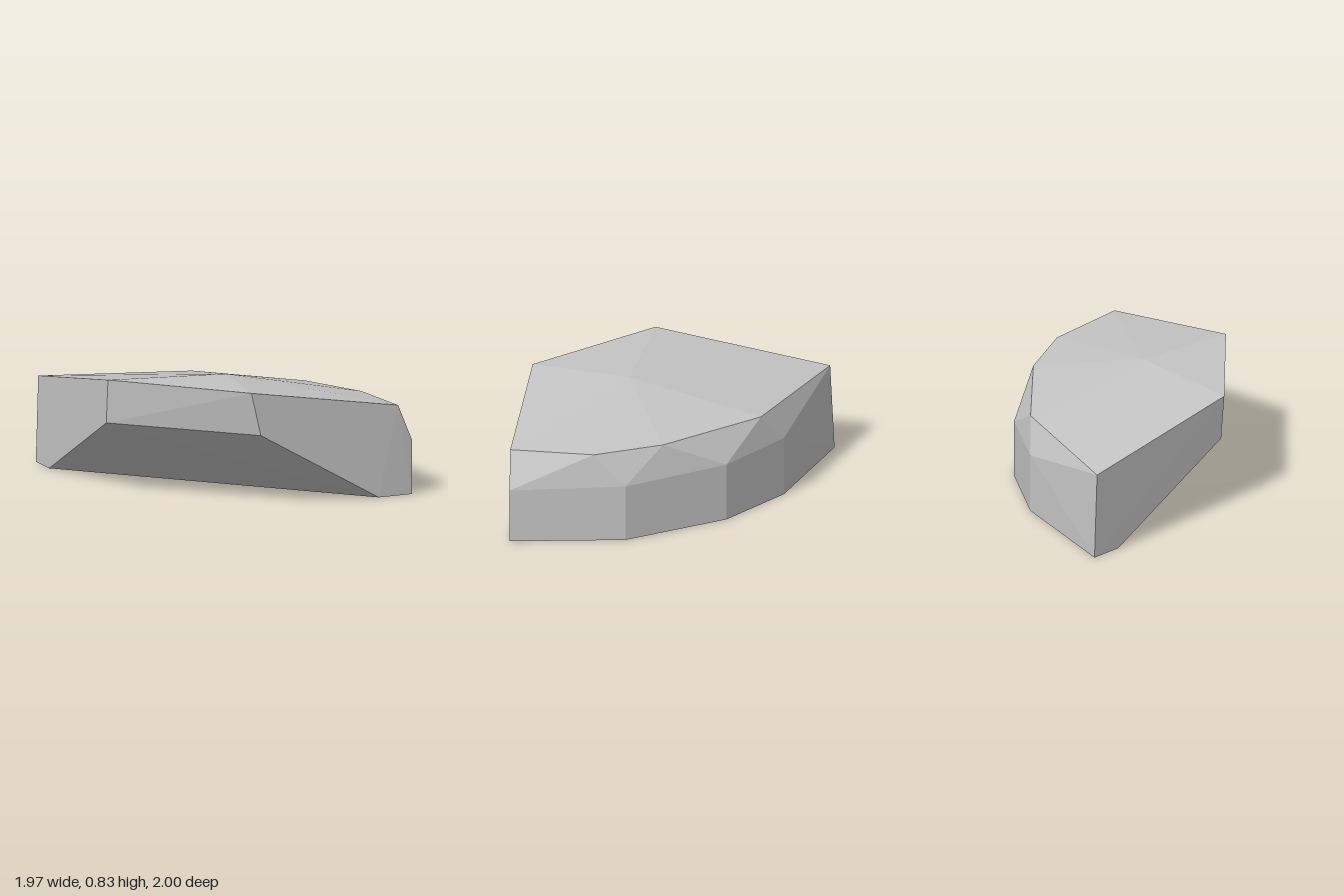
import * as THREE from 'three';
import { ConvexGeometry } from 'three/addons/geometries/ConvexGeometry.js';

export function createModel() {
  const stone = new THREE.MeshStandardMaterial({ color: 0xc4c4c4 });
  stone.name = 'light grey stone';

  // Corner points of the faceted boulder, ring by ring
  const base = [
    [-0.985, 0, -1], [-0.11, 0, -0.77], [0.39, 0, -0.44], [0.85, 0, 0.2],
    [0.985, 0, 0.99], [0.73, 0, 1], [-0.985, 0, -0.77],
  ];
  const undercut = [[-0.16, 0.515, 1], [-0.985, 0.52, 0.22]];
  const shoulder = [
    [-0.11, 0.42, -0.77], [0.39, 0.41, -0.44], [0.85, 0.4, 0.2], [0.985, 0.38, 0.99],
  ];
  const rim = [
    [-0.98, 0.615, -0.97], [0.03, 0.63, -0.63], [0.62, 0.63, -0.03],
    [0.85, 0.625, 0.42], [0.875, 0.64, 1], [-0.23, 0.82, 1], [-0.985, 0.83, 0.25],
  ];
  const peak = [[-0.12, 0.81, 0.31]];

  const points = [...base, ...undercut, ...shoulder, ...rim, ...peak]
    .map((p) => new THREE.Vector3(...p));

  // One convex, flat-faced solid
  const boulder = new THREE.Mesh(new ConvexGeometry(points), stone);
  boulder.name = 'boulder';

  const model = new THREE.Group();
  model.name = 'rock';
  model.add(boulder);
  return model;
}
